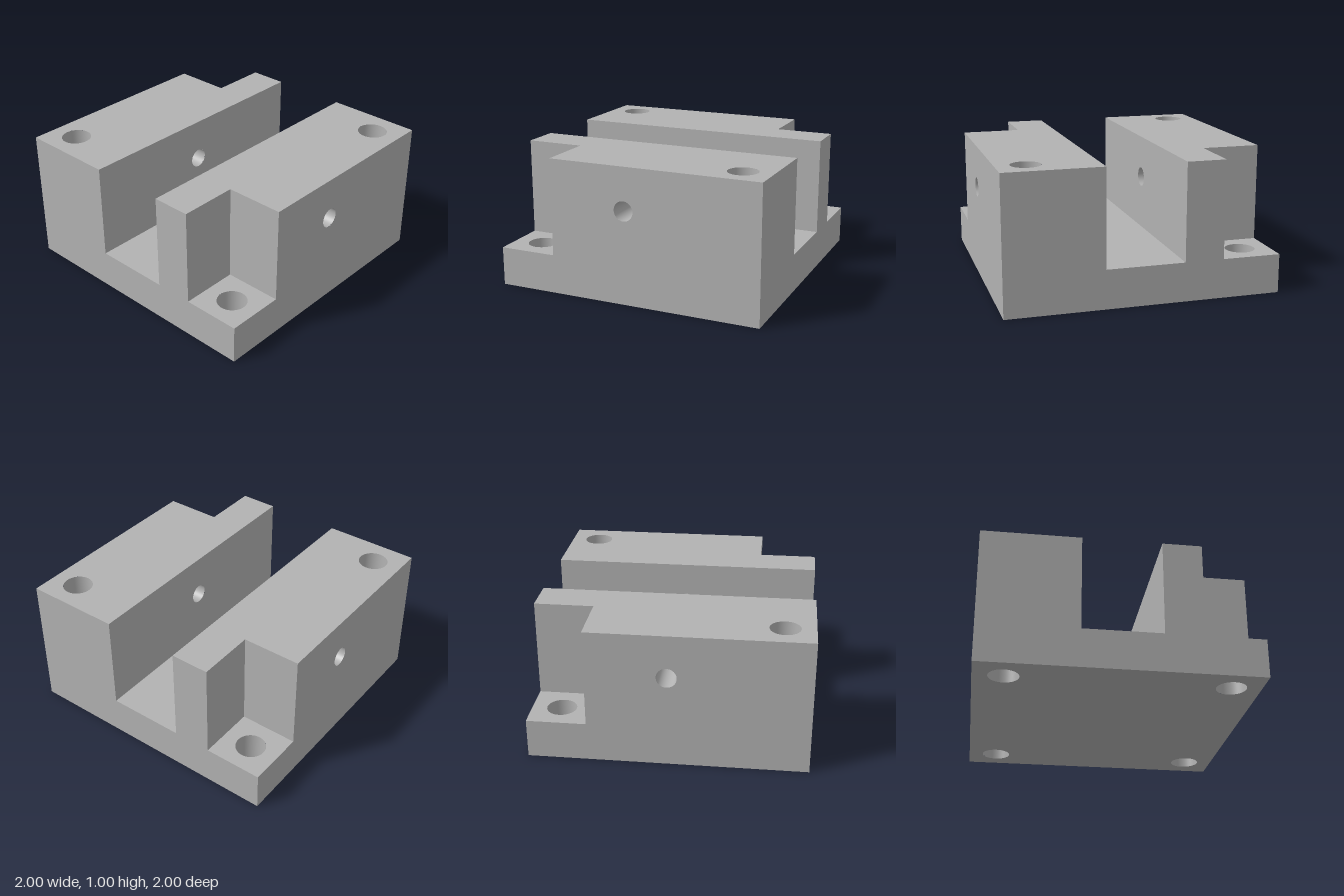
import * as THREE from 'three';

const SLOT = 0.286;   // half width of the slot, also height of its floor
const NOTCH = 0.571;  // inner edge of the corner notches
const BOLT = { at: 0.786, r: 0.108 };
const BORE = { y: 0.685, r: 0.072 };

// Orientation of a flat face: turn of the shape plane and sign of its axes.
// Outlines are given as (x, z) for up/down, (z, y) for sides, (x, y) for front.
const FACING = {
  up: { rot: [-Math.PI / 2, 0], sx: 1, sy: -1, axis: 'y' },
  down: { rot: [Math.PI / 2, 0], sx: 1, sy: 1, axis: 'y' },
  right: { rot: [0, Math.PI / 2], sx: -1, sy: 1, axis: 'x' },
  left: { rot: [0, -Math.PI / 2], sx: 1, sy: 1, axis: 'x' },
  front: { rot: [0, 0], sx: 1, sy: 1, axis: 'z' },
};

export function createModel() {
  const metal = new THREE.MeshStandardMaterial({ color: 0xb2b2b2 });
  metal.name = 'grey metal';

  function face(name, dir, offset, outline, holes = []) {
    const { rot, sx, sy, axis } = FACING[dir];
    const shape = new THREE.Shape(outline.map(([a, b]) => new THREE.Vector2(a * sx, b * sy)));
    for (const [a, b, r] of holes) {
      shape.holes.push(new THREE.Path().absarc(a * sx, b * sy, r, 0, Math.PI * 2, true));
    }
    const geometry = new THREE.ShapeGeometry(shape, 48);
    geometry.rotateX(rot[0]).rotateY(rot[1]);
    const mesh = new THREE.Mesh(geometry, metal);
    mesh.name = name;
    mesh.position[axis] = offset;
    return mesh;
  }

  const rect = (a0, b0, a1, b1) => [[a0, b0], [a1, b0], [a1, b1], [a0, b1]];

  // Inward-facing hole lining along y, from y0 up to y1
  function lining(name, r, y0, y1) {
    const profile = [new THREE.Vector2(r, y1), new THREE.Vector2(r, y0)];
    const mesh = new THREE.Mesh(new THREE.LatheGeometry(profile, 48), metal);
    mesh.name = name;
    return mesh;
  }

  // One half of the block: the wall on +x with its notch at the front corner
  function makeHalf(name) {
    const half = new THREE.Group();
    half.name = name;
    const { at, r } = BOLT;
    const bore = [0, BORE.y, BORE.r];

    half.add(
      face('endFace', 'front', 1, [
        [-1, 0], [1, 0], [1, SLOT], [NOTCH, SLOT], [NOTCH, 1], [SLOT, 1],
        [SLOT, SLOT], [-SLOT, SLOT], [-SLOT, 1], [-1, 1],
      ]),
      face('wallTop', 'up', 1, [
        [SLOT, -1], [1, -1], [1, NOTCH], [NOTCH, NOTCH], [NOTCH, 1], [SLOT, 1],
      ], [[at, -at, r]]),
      face('outerSide', 'right', 1, [
        [-1, 0], [1, 0], [1, SLOT], [NOTCH, SLOT], [NOTCH, 1], [-1, 1],
      ], [bore]),
      face('slotSide', 'left', SLOT, rect(-1, SLOT, 1, 1), [bore]),
      face('notchFloor', 'up', SLOT, rect(NOTCH, NOTCH, 1, 1), [[at, at, r]]),
      face('notchSide', 'right', NOTCH, rect(NOTCH, SLOT, 1, 1)),
      face('notchBack', 'front', NOTCH, rect(NOTCH, SLOT, 1, 1)),
    );

    // Bolt holes: short through the notch, long through the full block
    const shortHole = lining('shortBoltHole', r, 0, SLOT);
    shortHole.position.set(at, 0, at);
    const longHole = lining('longBoltHole', r, 0, 1);
    longHole.position.set(at, 0, -at);

    // Cross bore through the wall
    const crossBore = lining('crossBore', BORE.r, SLOT, 1);
    crossBore.rotation.z = -Math.PI / 2;
    crossBore.position.y = BORE.y;

    half.add(shortHole, longHole, crossBore);
    return half;
  }

  const block = new THREE.Group();
  block.name = 'slottedBlock';

  // The two halves match by a half turn about y
  const leftHalf = makeHalf('leftHalf');
  const rightHalf = makeHalf('rightHalf');
  rightHalf.rotation.y = Math.PI;

  const corners = [[1, 1], [1, -1], [-1, 1], [-1, -1]]
    .map(([i, j]) => [i * BOLT.at, j * BOLT.at, BOLT.r]);
  block.add(
    leftHalf,
    rightHalf,
    face('slotFloor', 'up', SLOT, rect(-SLOT, -1, SLOT, 1)),
    face('underside', 'down', 0, rect(-1, -1, 1, 1), corners),
  );
  return block;
}
